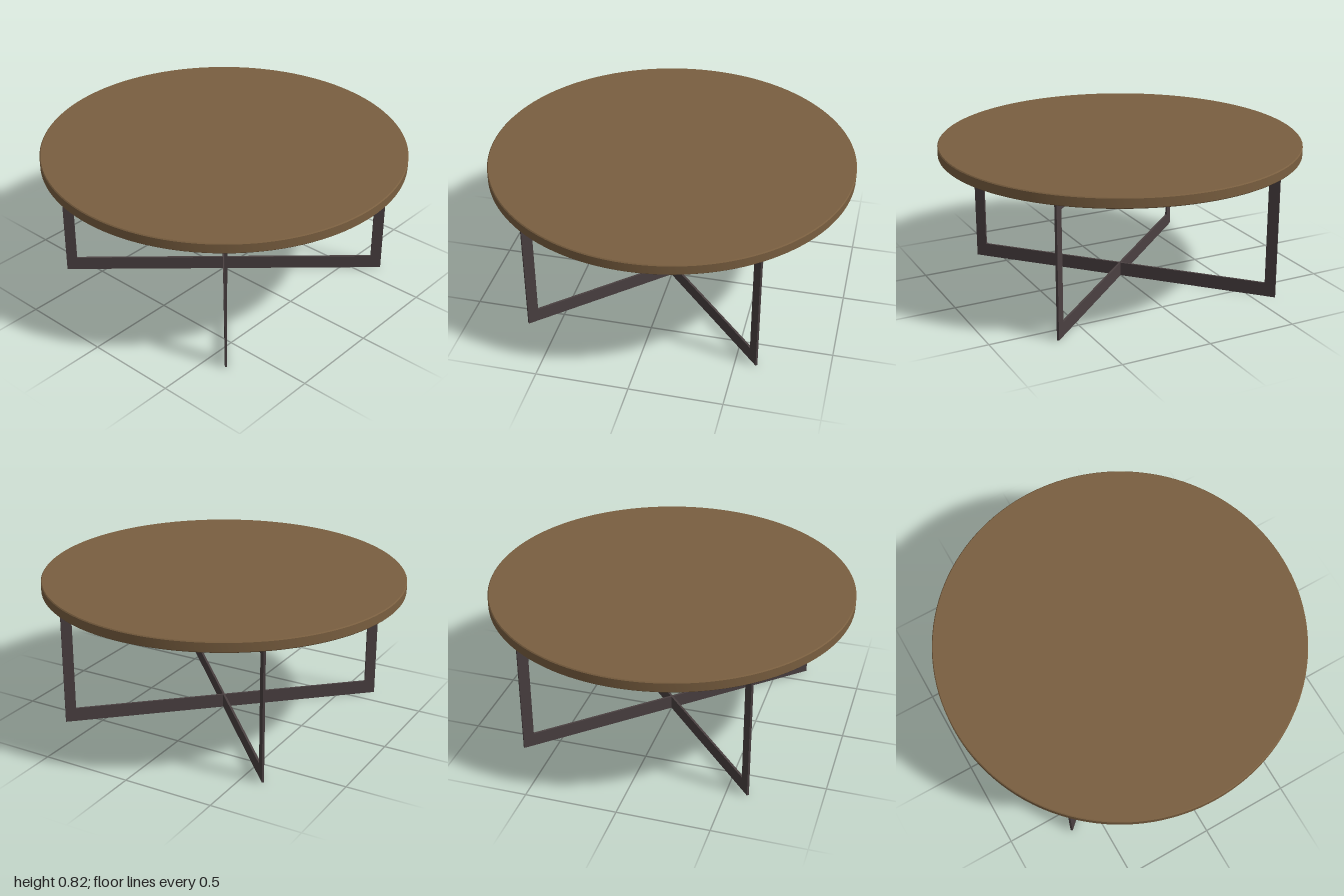
import * as THREE from 'three';
import { toCreasedNormals } from 'three/addons/utils/BufferGeometryUtils.js';

const TOP_Y = 0.82, TOP_BASE = 0.762;
const FRAME_LENGTH = 1.82, FRAME_DEPTH = 0.012;
const FRAME_ANGLE = 0.743;

// Round slab with a small eased edge, turned from bottom centre to top centre
function tabletopGeometry() {
  const b = 0.005;
  const profile = [
    [0, TOP_BASE], [1 - b, TOP_BASE], [1, TOP_BASE + b],
    [1, TOP_Y - b], [1 - b, TOP_Y], [0, TOP_Y],
  ].map(([x, y]) => new THREE.Vector2(x, y));
  return toCreasedNormals(new THREE.LatheGeometry(profile, 128), 0.5);
}

// Flat rectangular ring of metal standing on the floor
function frameGeometry() {
  const h = FRAME_LENGTH / 2, i = h - 0.06;
  const shape = new THREE.Shape();
  shape.moveTo(-h, 0).lineTo(h, 0).lineTo(h, TOP_BASE).lineTo(-h, TOP_BASE).closePath();
  const hole = new THREE.Path();
  hole.moveTo(-i, 0.077).lineTo(-i, 0.69).lineTo(i, 0.69).lineTo(i, 0.077).closePath();
  shape.holes.push(hole);
  const geometry = new THREE.ExtrudeGeometry(shape, { depth: FRAME_DEPTH, bevelEnabled: false });
  return geometry.translate(0, 0, -FRAME_DEPTH / 2);
}

export function createModel() {
  const wood = new THREE.MeshStandardMaterial({ name: 'brown wood', color: 0x7a5f40 });
  const metal = new THREE.MeshStandardMaterial({ name: 'dark metal', color: 0x4a4041 });

  const table = new THREE.Group();
  table.name = 'roundTable';

  const top = new THREE.Mesh(tabletopGeometry(), wood);
  top.name = 'tabletop';
  table.add(top);

  // Two identical frames crossing at right angles
  const geometry = frameGeometry();
  ['legFrameA', 'legFrameB'].forEach((name, k) => {
    const frame = new THREE.Mesh(geometry, metal);
    frame.name = name;
    frame.rotation.y = FRAME_ANGLE - k * Math.PI / 2;
    table.add(frame);
  });

  return table;
}
